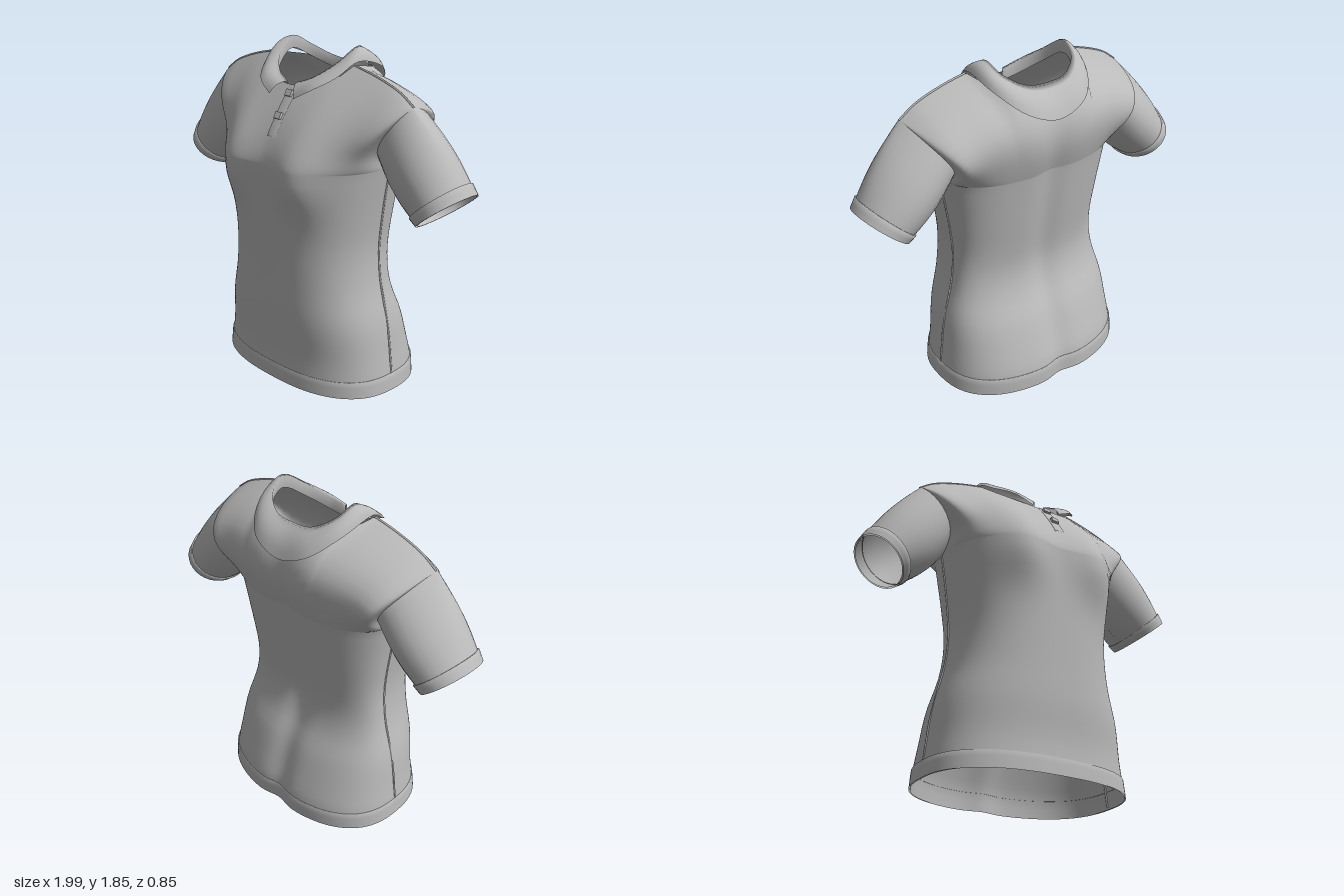
import * as THREE from 'three';

const cloth = new THREE.MeshStandardMaterial({ color: 0xbababa, side: THREE.DoubleSide });
cloth.name = 'grey cloth';

const CHEST = 1.27; // height of the underarm
const lerp = THREE.MathUtils.lerp;
const gauss = (d, w) => Math.exp(-(d * d) / (w * w));

// Smooth lookup in a list of [position, value] pairs
function look(table, x) {
  const n = table.length - 1;
  if (x <= table[0][0]) return table[0][1];
  if (x >= table[n][0]) return table[n][1];
  let i = 0;
  while (x > table[i + 1][0]) i++;
  const slope = (k) => {
    const a = table[Math.max(k - 1, 0)], b = table[Math.min(k + 1, n)];
    return (b[1] - a[1]) / (b[0] - a[0]);
  };
  const [x0, y0] = table[i], [x1, y1] = table[i + 1];
  const h = x1 - x0, t = (x - x0) / h, t2 = t * t, t3 = t2 * t;
  return y0 * (2 * t3 - 3 * t2 + 1) + y1 * (3 * t2 - 2 * t3)
    + h * (slope(i) * (t3 - 2 * t2 + t) + slope(i + 1) * (t3 - t2));
}

const bodyWidth = [[0, 0.572], [0.1, 0.563], [0.2, 0.55], [0.4, 0.523], [0.6, 0.47], [0.8, 0.45], [1, 0.468], [CHEST, 0.51]];
const yokeWidth = [[0, 0.51], [0.25, 0.52], [0.5, 0.57], [0.8, 0.645], [1, 0.69]];
const frontDepth = [[0, 0.36], [0.2, 0.35], [0.4, 0.365], [0.6, 0.37], [0.8, 0.375], [1, 0.38], [CHEST, 0.388]];
const backDepth = [[0, -0.43], [0.1, -0.428], [0.2, -0.4], [0.4, -0.33], [0.5, -0.28], [0.6, -0.248], [0.7, -0.238], [0.8, -0.248], [1, -0.28], [CHEST, -0.32]];
const shoulderLine = [[0.434, 1.77], [0.65, 1.735], [0.87, 1.68], [1, 1.62]];

// Point on the body: side 1 front or -1 back, u across -1..1,
// v 0..1 from hem to underarm, 1..2 from underarm to shoulder and neck
function bodyPoint(side, u, v) {
  const f = Math.sin(u * Math.PI / 2), a = Math.abs(f);
  const y0 = Math.min(v, 1) * CHEST;
  const s = Math.max(v - 1, 0);
  const x0 = f * look(bodyWidth, y0);
  const mid = look(side > 0 ? frontDepth : backDepth, y0);
  let z = -0.03 + (mid + 0.03) * Math.pow(Math.max(0, 1 - Math.pow(a, 2.5)), 0.4);
  if (side > 0) z += 0.06 * gauss(Math.abs(x0) - 0.24, 0.14) * gauss(y0 - 1.2, 0.17);
  else z += 0.025 * gauss(x0, 0.08);
  if (s === 0) return new THREE.Vector3(x0, y0 + (0.012 + 0.025 * z) * Math.max(0, 1 - y0 * 5), z);

  // neckline or shoulder seam at the top of this column
  let topY = look(shoulderLine, a), topZ = 0.02;
  const q = a / 0.434;
  if (q < 1) {
    const h = side > 0 ? Math.pow(1 - Math.pow(q, 2.5), 0.7) : Math.sqrt(1 - q ** 4);
    topY = 1.77 - (side > 0 ? 0.12 : 0.05) * h;
    topZ = lerp(0.02, side > 0 ? 0.17 : -0.25, h);
  }
  z = lerp(z, topZ, Math.pow(s, side > 0 ? 1.4 : 5));
  const swell = Math.sin(Math.PI * s);
  if (side < 0) z -= 0.05 * swell * (1 - a ** 4);
  z += (side > 0 ? 0.13 : -0.2) * Math.pow(Math.max(0, swell), 0.7) * a ** 6;
  return new THREE.Vector3(f * look(yokeWidth, s), lerp(CHEST, topY, s), z);
}

// Surface from rows and columns of points; flip turns it over
function sheet(name, rows, cols, point, flip = false) {
  const pos = [], index = [];
  for (let r = 0; r <= rows; r++)
    for (let c = 0; c <= cols; c++) pos.push(...point(c, r).toArray());
  for (let r = 0; r < rows; r++)
    for (let c = 0; c < cols; c++) {
      const a = r * (cols + 1) + c, b = a + cols + 1;
      if (flip) index.push(a, b, a + 1, a + 1, b, b + 1);
      else index.push(a, a + 1, b, b, a + 1, b + 1);
    }
  const g = new THREE.BufferGeometry();
  g.setAttribute('position', new THREE.Float32BufferAttribute(pos, 3));
  g.setIndex(index);
  g.computeVertexNormals();
  const m = new THREE.Mesh(g, cloth);
  m.name = name;
  return m;
}

const YOKE = 16, LOWER = 24, COLS = 56;
const yokeStep = (k) => (1 - Math.cos(Math.PI * k / YOKE)) / 2;
const rowV = (r) => (r <= LOWER ? r / LOWER : 1 + yokeStep(r - LOWER));

// Sleeve ring point: c runs round from the underarm, t from armhole to cuff
function sleevePoint(m, c, t, grow) {
  const k = c <= YOKE ? c : 2 * YOKE - c;
  const start = bodyPoint(c <= YOKE ? 1 : -1, 1, 1 + Math.max(yokeStep(k), 1e-6));
  const th = Math.PI * c / YOKE;
  const out = new THREE.Vector3(-0.77 * Math.cos(th), -0.64 * Math.cos(th), Math.sin(th));
  const end = new THREE.Vector3(0.872, 1.127, -0.04)
    .add(new THREE.Vector3(out.x * 0.148, out.y * 0.148, out.z * 0.178));
  const p = start.lerp(end, t).addScaledVector(out, 0.02 * Math.sin(Math.PI * t) + grow);
  p.x *= m;
  return p;
}

function seam(name, points) {
  const m = new THREE.Mesh(new THREE.TubeGeometry(new THREE.CatmullRomCurve3(points), 30, 0.006, 5), cloth);
  m.name = name;
  return m;
}

export function createModel() {
  const shirt = new THREE.Group();
  shirt.name = 'poloShirt';

  for (const side of [1, -1]) {
    const label = side > 0 ? 'front' : 'back';
    shirt.add(sheet(label + 'Panel', LOWER + YOKE, COLS,
      (c, r) => bodyPoint(side, c / COLS * 2 - 1, rowV(r)), side < 0));
    // hem band, standing slightly proud with a turned-in top edge
    shirt.add(sheet(label + 'HemBand', 4, COLS, (c, r) => {
      const p = bodyPoint(side, c / COLS * 2 - 1, Math.min(r, 3) / 3 * 0.1 / CHEST);
      const k = r < 4 ? 1.012 : 0.995;
      p.x *= k;
      p.z *= k;
      return p;
    }, side < 0));
  }

  // Sleeves, cuffs and seams on both sides
  for (const m of [1, -1]) {
    const label = m > 0 ? 'left' : 'right';
    shirt.add(sheet(label + 'Sleeve', 12, 2 * YOKE, (c, r) => sleevePoint(m, c, r / 12, 0), m < 0));
    shirt.add(sheet(label + 'Cuff', 3, 2 * YOKE,
      (c, r) => sleevePoint(m, c, 0.87 + 0.13 * Math.max(r - 1, 0) / 2, r === 0 ? -0.003 : 0.009), m < 0));
    const shoulder = [], flank = [];
    for (let i = 0; i <= 8; i++) {
      shoulder.push(bodyPoint(1, m * lerp(0.29, 0.99, i / 8), 2));
      flank.push(bodyPoint(1, m, lerp(0.01, 1, i / 8)));
    }
    shirt.add(seam(label + 'ShoulderSeam', shoulder), seam(label + 'SideSeam', flank));
  }

  // Collar: rises from the neck, rolls over a fold and falls to the outer edge
  const fold = [[0.03, 1.665, 0.17], [0.12, 1.70, 0.14], [0.205, 1.77, 0.06], [0.24, 1.85, -0.07], [0.215, 1.80, -0.17], [0.12, 1.745, -0.235], [0, 1.73, -0.24]];
  const edge = [[0.09, 1.60, 0.245], [0.19, 1.655, 0.215], [0.27, 1.715, 0.12], [0.305, 1.785, 0], [0.29, 1.735, -0.2], [0.18, 1.635, -0.335], [0, 1.575, -0.36]];
  const around = (half) => new THREE.CatmullRomCurve3([
    ...half.map(([x, y, z]) => new THREE.Vector3(-x, y, z)),
    ...half.slice(0, -1).reverse().map((p) => new THREE.Vector3(...p)),
  ]);
  const foldCurve = around(fold), edgeCurve = around(edge);
  shirt.add(sheet('collar', 6, 60, (c, r) => {
    const top = foldCurve.getPoint(c / 60), low = edgeCurve.getPoint(c / 60);
    if (r === 0) return new THREE.Vector3(top.x * 1.03, top.y - 0.07, top.z * 1.03);
    const t = (r - 1) / 5, roll = 0.014 * Math.sin(Math.PI * t);
    const p = top.lerp(low, t);
    return new THREE.Vector3(p.x * (1 + roll * 3), p.y + roll, p.z * (1 + roll * 3));
  }, true));

  // Placket strip and buttons on the centre front
  const chestAt = (x, y) => {
    const p = bodyPoint(1, 0.02, 1 + (y - CHEST) / (1.65 - CHEST));
    return new THREE.Vector3(x, y, p.z);
  };
  shirt.add(sheet('placket', 8, 3, (c, r) => {
    const p = chestAt([-0.006, -0.004, 0.052, 0.054][c], lerp(1.41, 1.65, r / 8));
    p.z += c === 0 || c === 3 ? -0.004 : 0.006;
    return p;
  }));
  for (const y of [1.615, 1.51]) {
    const button = new THREE.Mesh(new THREE.BoxGeometry(0.042, 0.036, 0.02), cloth);
    button.name = 'button';
    button.position.copy(chestAt(0.024, y));
    button.position.z += 0.012;
    button.rotation.x = -0.5;
    shirt.add(button);
  }
  return shirt;
}
